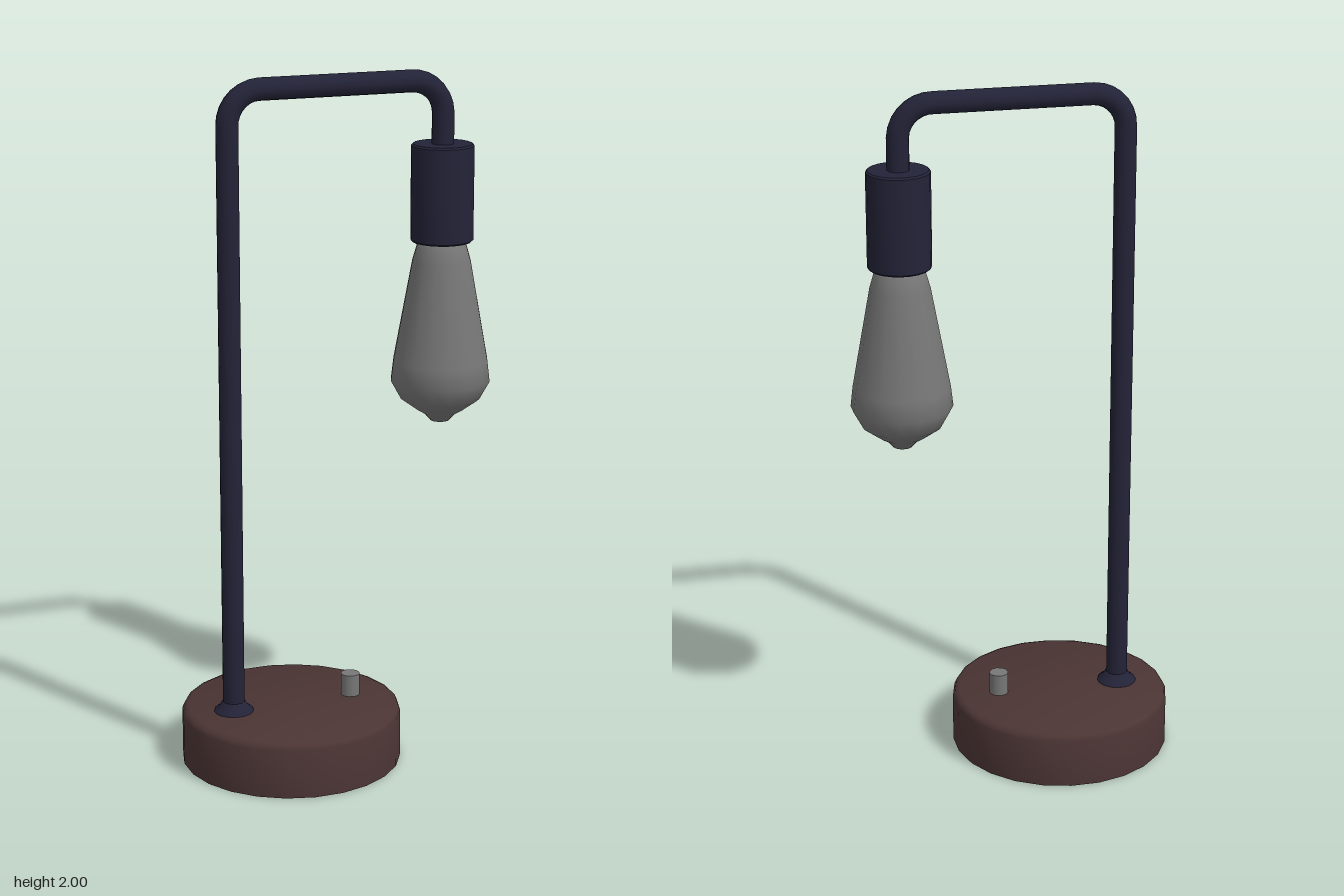
import * as THREE from 'three';
import { toCreasedNormals } from 'three/addons/utils/BufferGeometryUtils.js';

const material = (name, color, side = THREE.FrontSide) => {
  const m = new THREE.MeshStandardMaterial({ color, side });
  m.name = name;
  return m;
};

export function createModel() {
  const lamp = new THREE.Group();
  lamp.name = 'deskLamp';

  const wood = material('darkBrown', 0x4b3434, THREE.DoubleSide);
  const metal = material('navyMetal', 0x232338);
  const grey = material('grey', 0x777777, THREE.DoubleSide);

  const poleX = -0.325, socketX = 0.316, baseX = -0.148;

  const add = (name, geometry, mat, x = 0) => {
    const mesh = new THREE.Mesh(geometry, mat);
    mesh.name = name;
    mesh.position.x = x;
    lamp.add(mesh);
    return mesh;
  };

  // Profiles are [radius, height], listed from bottom to top
  const lathe = (profile, sides, crease) => {
    const g = new THREE.LatheGeometry(profile.map(([r, y]) => new THREE.Vector2(r, y)), sides);
    g.rotateY(Math.PI / sides);
    return crease ? toCreasedNormals(g, crease) : g;
  };

  // Round base: a shell, open underneath
  add('base', lathe([
    [0.32, 0], [0.32, 0.143], [0.314, 0.157], [0.3, 0.163], [0, 0.163],
  ], 24, 0.9), wood, baseX);

  // Flared collar where the pole meets the base
  add('poleCollar', lathe([
    [0.058, 0.162], [0.056, 0.168], [0.042, 0.178], [0.034, 0.192], [0.03, 0.194],
  ], 16), metal, poleX);

  // Bent pole: up, across and down into the socket
  const top = 1.968, bend = 0.095, k = bend * 0.5523;
  const v = (x, y) => new THREE.Vector3(x, y, 0);
  const path = new THREE.CurvePath();
  path.add(new THREE.LineCurve3(v(poleX, 0.16), v(poleX, top - bend)));
  path.add(new THREE.CubicBezierCurve3(
    v(poleX, top - bend), v(poleX, top - bend + k), v(poleX + bend - k, top), v(poleX + bend, top)));
  path.add(new THREE.LineCurve3(v(poleX + bend, top), v(socketX - bend, top)));
  path.add(new THREE.CubicBezierCurve3(
    v(socketX - bend, top), v(socketX - bend + k, top), v(socketX, top - bend + k), v(socketX, top - bend)));
  path.add(new THREE.LineCurve3(v(socketX, top - bend), v(socketX, 1.77)));
  add('pole', new THREE.TubeGeometry(path, 120, 0.032, 12), metal);

  // Bulb socket
  add('socket', lathe([
    [0, 1.507], [0.085, 1.507], [0.09, 1.512], [0.09, 1.782], [0.085, 1.787], [0, 1.787],
  ], 20, 0.6), metal, socketX);

  // Teardrop bulb with a small tip
  add('bulb', lathe([
    [0, 0.974], [0.028, 0.978], [0.045, 0.998], [0.075, 1.016], [0.115, 1.045],
    [0.145, 1.1], [0.138, 1.16], [0.085, 1.45], [0.072, 1.495], [0.06, 1.51],
  ], 16), grey, socketX);

  // Switch knob on the base
  const knob = new THREE.CylinderGeometry(0.028, 0.028, 0.07, 12);
  add('switchKnob', knob, grey, 0.038).position.y = 0.193;

  return lamp;
}
